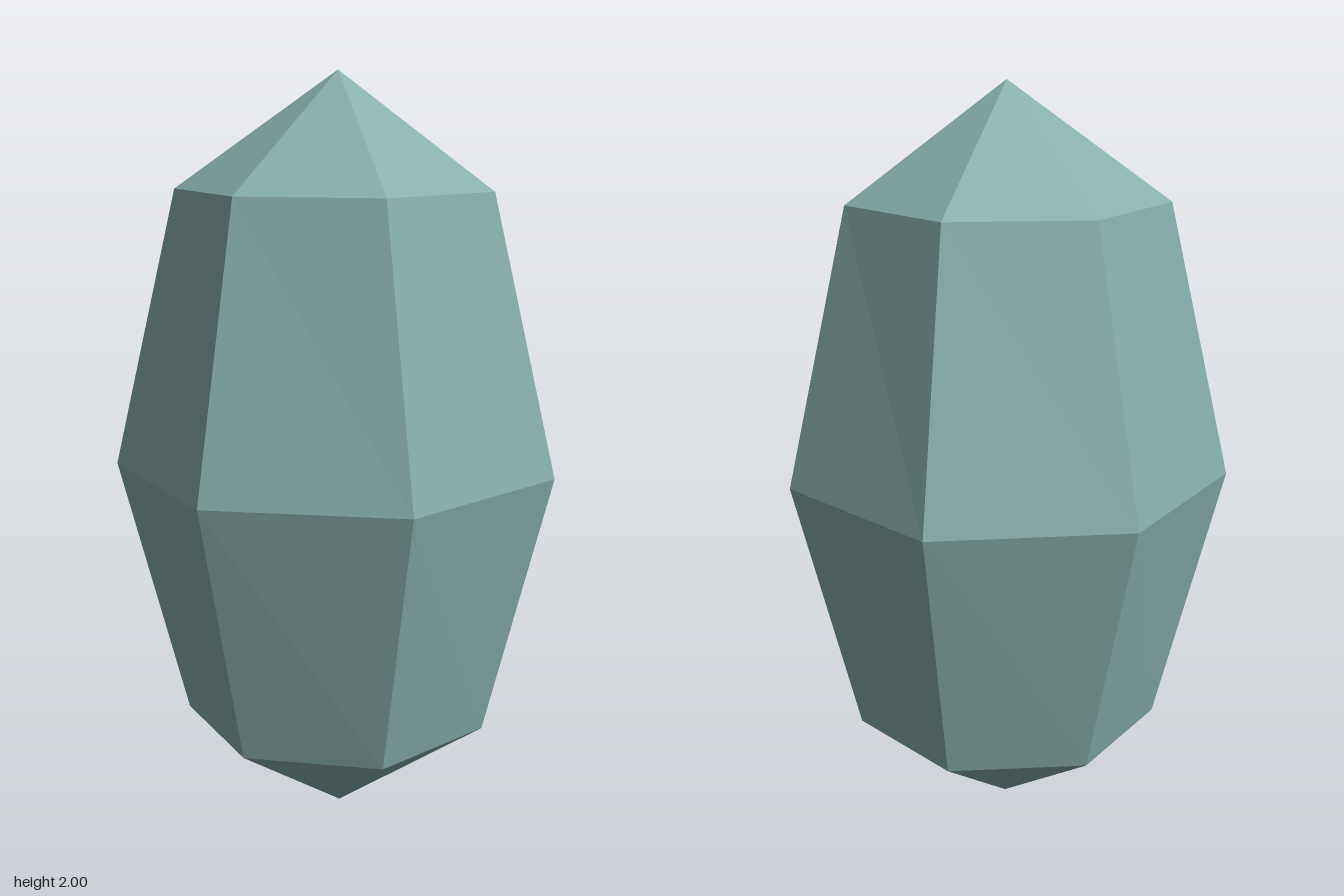
import * as THREE from 'three';

const SIDES = 7;
const CENTRE_X = -0.03;

// One horizontal cross-section: a regular heptagon, slightly twisted.
function ring(y, radius, twist) {
  return Array.from({ length: SIDES }, (_, i) => {
    const a = (i / SIDES) * Math.PI * 2 + twist;
    return new THREE.Vector3(CENTRE_X + radius * Math.cos(a), y, radius * Math.sin(a));
  });
}

export function createModel() {
  const group = new THREE.Group();
  group.name = 'crystal';
  const stone = new THREE.MeshStandardMaterial({ color: 0x86aeaa });
  stone.name = 'pale teal stone';

  const lower = ring(0.295, 0.415, 0.03);
  const middle = ring(1, 0.585, 0);
  const upper = ring(1.71, 0.415, 0.03);
  const bottom = new THREE.Vector3(CENTRE_X, 0, 0);
  const top = new THREE.Vector3(CENTRE_X, 2, 0);

  // Unshared corners give each facet its own flat normal.
  function addPart(name, points) {
    const geometry = new THREE.BufferGeometry().setFromPoints(points);
    geometry.computeVertexNormals();
    const mesh = new THREE.Mesh(geometry, stone);
    mesh.name = name;
    group.add(mesh);
  }

  // Band of facets between two cross-sections
  function band(below, above) {
    return below.flatMap((a, i) => {
      const j = (i + 1) % SIDES;
      return [a, above[j], below[j], a, above[i], above[j]];
    });
  }

  // Pointed cap closing a cross-section
  function cap(edge, tip, facesUp) {
    return edge.flatMap((a, i) => {
      const b = edge[(i + 1) % SIDES];
      return facesUp ? [a, tip, b] : [a, b, tip];
    });
  }

  addPart('bottomPoint', cap(lower, bottom, false));
  addPart('lowerFacets', band(lower, middle));
  addPart('upperFacets', band(middle, upper));
  addPart('topPoint', cap(upper, top, true));
  return group;
}
